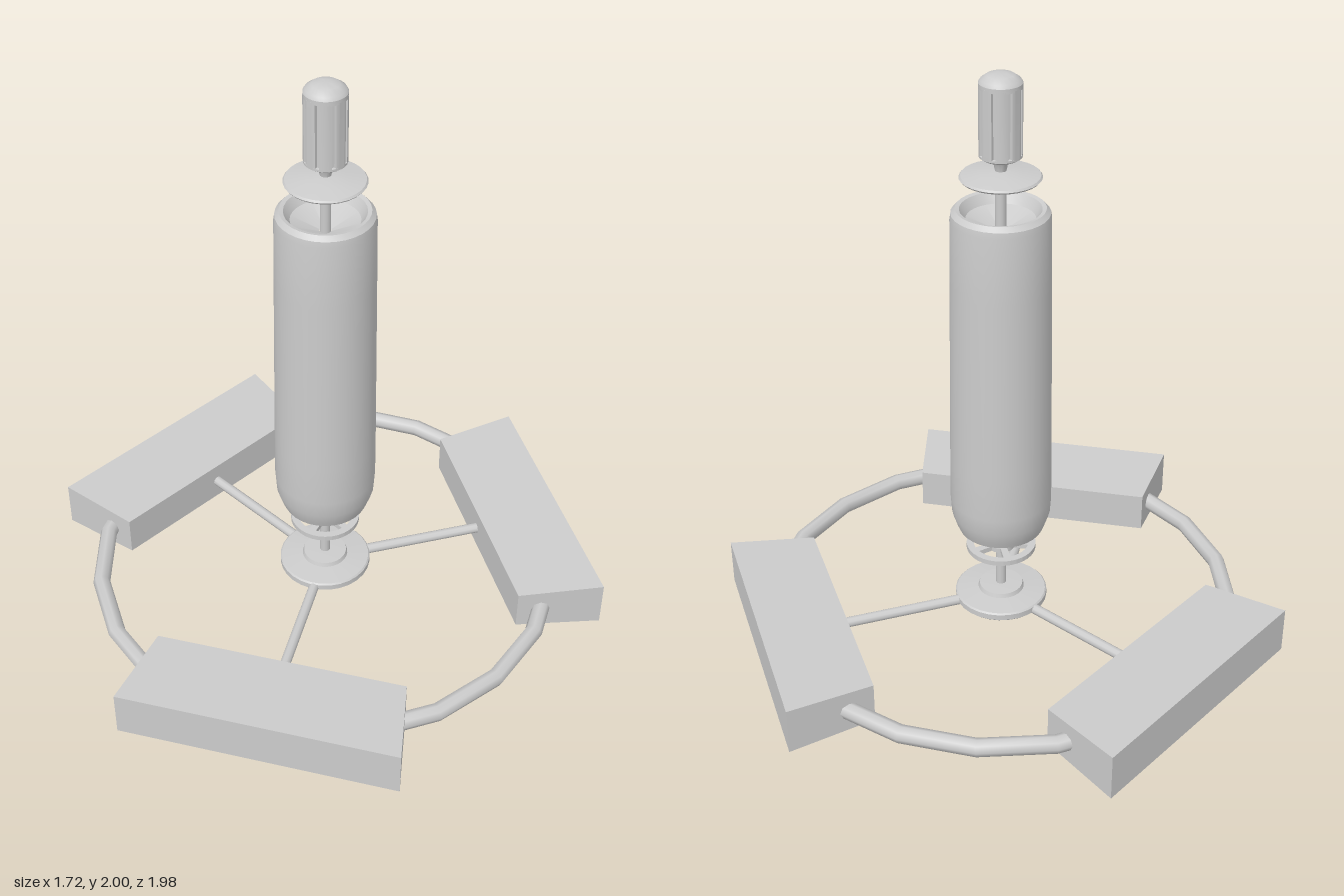
import * as THREE from 'three';
import { toCreasedNormals } from 'three/addons/utils/BufferGeometryUtils.js';

const material = new THREE.MeshStandardMaterial({ color: 0xcccccc });

function add(parent, name, geometry) {
  const mesh = new THREE.Mesh(geometry, material);
  mesh.name = name;
  parent.add(mesh);
  return mesh;
}

// Profile of [radius, y] from the bottom up, turned round the axis
function lathe(profile, sides = 28) {
  const points = profile.map(([r, y]) => new THREE.Vector2(r, y));
  return toCreasedNormals(new THREE.LatheGeometry(points, sides), 0.45);
}

// Base block: outer face larger than the inner face, pointing out along +x
function blockGeometry() {
  const g = new THREE.BoxGeometry(0.295, 0.166, 0.95);
  const p = g.attributes.position;
  for (let i = 0; i < p.count; i++) {
    if (p.getX(i) < 0) {
      p.setY(i, p.getY(i) * 0.86);
      p.setZ(i, p.getZ(i) * 0.9);
    }
  }
  g.computeVertexNormals();
  return g;
}

// Flat spoked wheel with sector-shaped openings
function wheelGeometry(radius, rim, hub, count, thickness) {
  const shape = new THREE.Shape().absarc(0, 0, radius, 0, Math.PI * 2);
  const step = (Math.PI * 2) / count;
  for (let i = 0; i < count; i++) {
    const hole = new THREE.Path();
    const a = i * step;
    hole.absarc(0, 0, rim, a + 0.13, a + step - 0.13, false);
    hole.absarc(0, 0, hub, a + step - 0.25, a + 0.25, true);
    hole.closePath();
    shape.holes.push(hole);
  }
  const g = new THREE.ExtrudeGeometry(shape, { depth: thickness, bevelEnabled: false, curveSegments: 16 });
  return g.rotateX(-Math.PI / 2);
}

// Grip cross-section: a round with narrow lengthwise grooves
function gripGeometry() {
  const grooves = 8, points = [];
  for (let i = 0; i < grooves; i++) {
    const a = ((i + 0.5) / grooves) * Math.PI * 2;
    for (const [da, r] of [[-0.1, 0.067], [-0.07, 0.057], [0.07, 0.057], [0.1, 0.067], [0.25, 0.068], [0.39, 0.068], [0.54, 0.068]]) {
      points.push(new THREE.Vector2(Math.cos(a + da) * r, Math.sin(a + da) * r));
    }
  }
  const g = new THREE.ExtrudeGeometry(new THREE.Shape(points), { depth: 0.22, bevelEnabled: false });
  return toCreasedNormals(g.rotateX(-Math.PI / 2), 0.5);
}

export function createModel() {
  const model = new THREE.Group();
  model.name = 'standingRoller';
  const axis = new THREE.Group();
  axis.name = 'assembly';
  axis.position.x = 0.008;
  model.add(axis);

  // Base: three blocks and spokes
  const block = blockGeometry();
  for (let i = 0; i < 3; i++) {
    const arm = new THREE.Group();
    arm.name = 'baseArm' + (i + 1);
    arm.rotation.y = Math.PI / 3 + (i * Math.PI * 2) / 3;
    axis.add(arm);
    add(arm, 'baseBlock', block).position.set(0.7225, 0.085, 0);
    const spoke = new THREE.CylinderGeometry(0.018, 0.018, 0.54, 10).rotateZ(Math.PI / 2);
    add(arm, 'baseSpoke', spoke).position.set(0.33, 0.085, 0);
  }

  // Faceted ring joining the blocks
  const ring = new THREE.TorusGeometry(0.8, 0.03, 8, 20).rotateX(Math.PI / 2);
  add(axis, 'baseRing', ring).position.y = 0.085;

  // Hub plate with raised centre on both sides
  add(axis, 'hub', lathe([
    [0, 0.05], [0.075, 0.05], [0.08, 0.065], [0.155, 0.075], [0.16, 0.08],
    [0.16, 0.1], [0.155, 0.105], [0.08, 0.113], [0.075, 0.127], [0, 0.13],
  ]));

  // Shaft through everything
  const shaft = new THREE.CylinderGeometry(0.018, 0.018, 1.66, 12);
  add(axis, 'shaft', shaft).position.y = 0.92;

  // Spoked wheel under the body
  add(axis, 'lowerWheel', wheelGeometry(0.12, 0.095, 0.045, 5, 0.018)).position.y = 0.282;

  // Tall slightly tapered body with recessed ends
  add(axis, 'body', lathe([
    [0.018, 0.43], [0.1, 0.4], [0.13, 0.375], [0.145, 0.375], [0.153, 0.395], [0.168, 0.44], [0.172, 0.5],
    [0.171, 0.65], [0.163, 1.3], [0.16, 1.53], [0.157, 1.55], [0.143, 1.565],
    [0.13, 1.562], [0.11, 1.53], [0.018, 1.49],
  ], 32));

  // Saucer below the grip
  add(axis, 'saucer', lathe([
    [0, 1.657], [0.1, 1.657], [0.125, 1.663], [0.13, 1.669], [0.125, 1.675], [0.07, 1.684], [0.025, 1.69], [0, 1.69],
  ]));

  // Grip: neck, grooved barrel and rounded cap
  add(axis, 'gripNeck', lathe([[0, 1.685], [0.018, 1.69], [0.022, 1.71], [0.03, 1.725], [0.06, 1.732], [0.068, 1.738], [0.068, 1.745], [0, 1.745]]));
  add(axis, 'grip', gripGeometry()).position.y = 1.742;
  add(axis, 'gripCap', lathe([[0, 1.957], [0.068, 1.957], [0.068, 1.972], [0.062, 1.982], [0.042, 1.996], [0.02, 2], [0, 2]]));

  return model;
}
